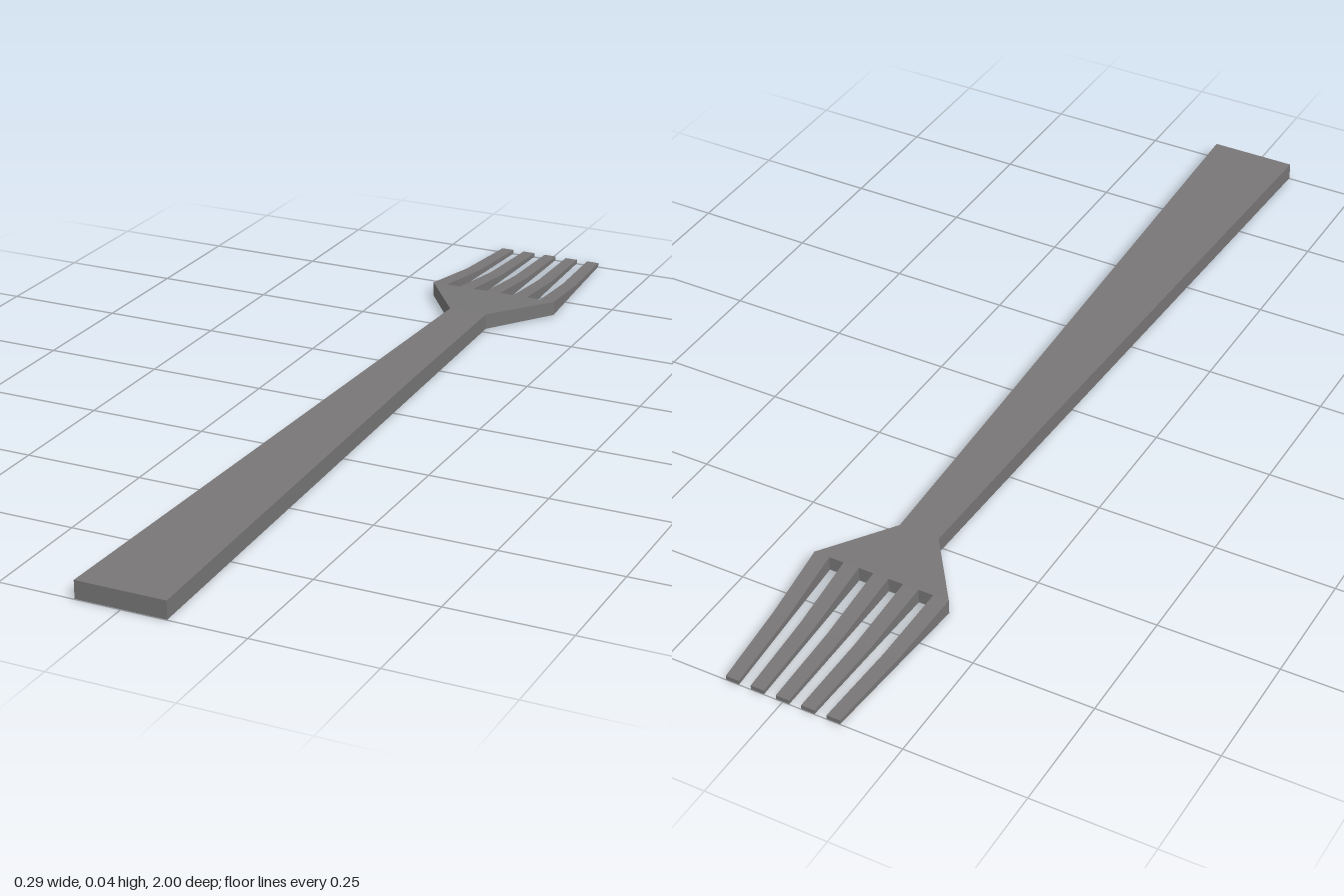
import * as THREE from 'three';

// Closed flat-sided loft through rectangles [z, left, right, bottom, top], listed from front (+z) to back
function loft(sections) {
  const rings = sections.map(([z, l, r, b, t]) => [[l, b, z], [r, b, z], [r, t, z], [l, t, z]]);
  const pos = [];
  const quad = (a, b, c, d) => pos.push(...a, ...b, ...c, ...a, ...c, ...d);
  for (let i = 0; i < rings.length - 1; i++) {
    const p = rings[i], q = rings[i + 1];
    for (let j = 0; j < 4; j++) {
      const k = (j + 1) % 4;
      quad(p[j], q[j], q[k], p[k]);
    }
  }
  const first = rings[0], last = rings[rings.length - 1];
  quad(first[0], first[1], first[2], first[3]);
  quad(last[3], last[2], last[1], last[0]);
  const geo = new THREE.BufferGeometry();
  geo.setAttribute('position', new THREE.Float32BufferAttribute(pos, 3));
  geo.computeVertexNormals();
  return geo;
}

export function createModel() {
  const group = new THREE.Group();
  group.name = 'fork';
  const steel = new THREE.MeshStandardMaterial({ color: 0x787676, flatShading: true });
  steel.name = 'grey steel';
  const add = (name, sections) => {
    const mesh = new THREE.Mesh(loft(sections), steel);
    mesh.name = name;
    group.add(mesh);
  };

  // Tapered handle flaring into the head
  add('handleAndHead', [
    [1, -0.093, 0.093, 0.001, 0.038],
    [-0.1, -0.055, 0.055, 0, 0.038],
    [-0.515, -0.043, 0.043, 0.002, 0.036],
    [-0.657, -0.147, 0.147, 0.003, 0.034],
  ]);

  // Five tines, converging and thinning towards their tips
  for (let i = -2; i <= 2; i++) {
    const root = i * 0.065, tip = i * 0.0535;
    const section = (z, t, half, bottom, top) => {
      const x = THREE.MathUtils.lerp(root, tip, t);
      return [z, x - half, x + half, bottom, top];
    };
    add(`tine${i + 3}`, [
      section(-0.657, 0, 0.0165, 0.003, 0.034),
      section(-0.82, 0.475, 0.0155, 0.003, 0.016),
      section(-1, 1, 0.014, 0.001, 0.01),
    ]);
  }
  return group;
}
